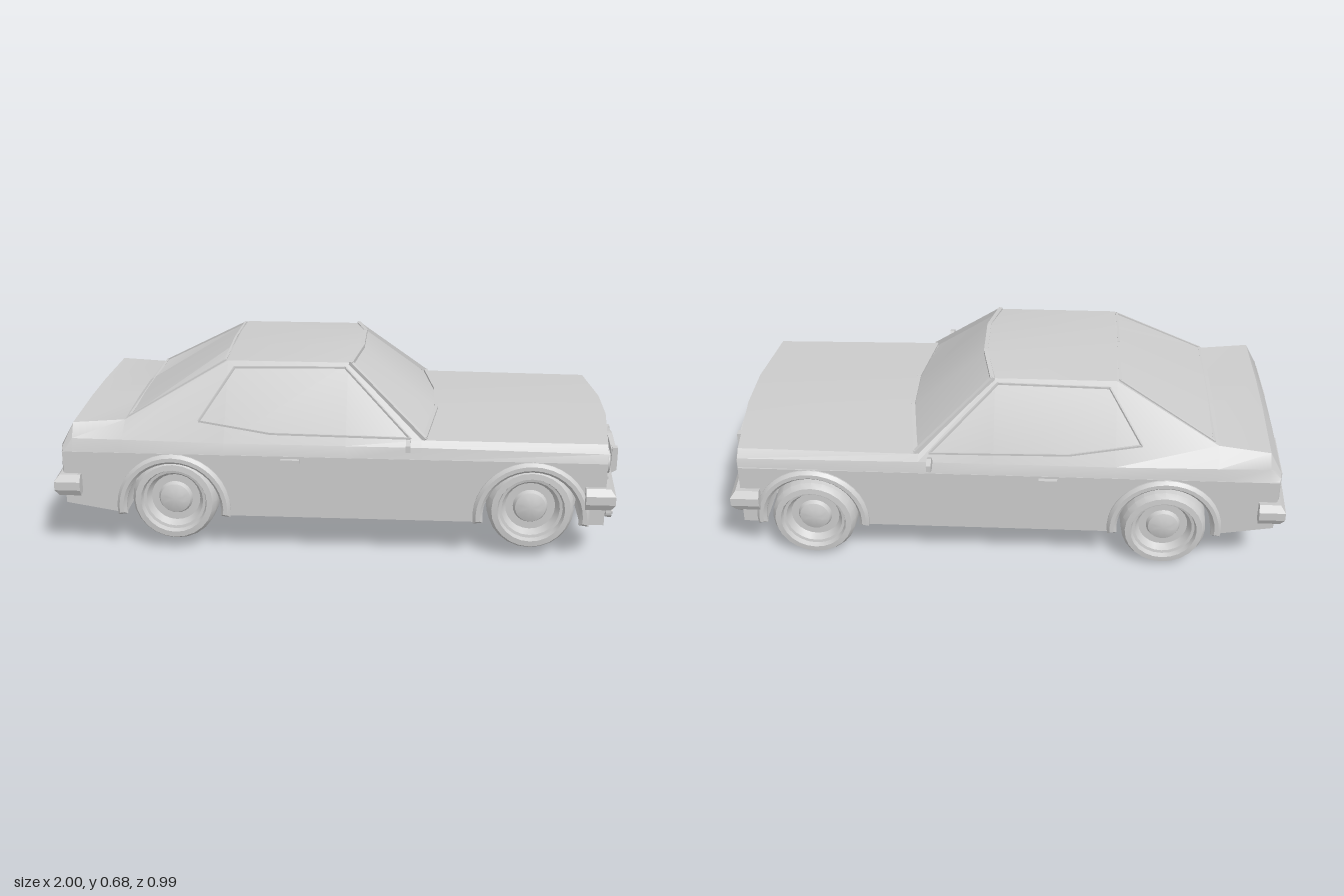
import * as THREE from 'three';
import { toCreasedNormals } from 'three/addons/utils/BufferGeometryUtils.js';

const mat = new THREE.MeshStandardMaterial({ color: 0xcccccc, side: THREE.DoubleSide });
const V = (p) => new THREE.Vector3(...p);

function add(parent, name, geo, x = 0, y = 0, z = 0) {
  const m = new THREE.Mesh(geo, mat);
  m.name = name;
  m.position.set(x, y, z);
  parent.add(m);
  return m;
}

// Skin over rows of points that all have the same count
function loft(rows, closed = false, crease = 0.5) {
  const n = rows[0].length, idx = [];
  for (let r = 0; r < rows.length - 1; r++) {
    for (let c = 0; c < (closed ? n : n - 1); c++) {
      const a = r * n + c, d = r * n + (c + 1) % n;
      idx.push(a, d, a + n, a + n, d, d + n);
    }
  }
  if (closed) {
    const last = (rows.length - 1) * n;
    for (let c = 1; c < n - 1; c++) idx.push(0, c + 1, c, last, last + c, last + c + 1);
  }
  const g = new THREE.BufferGeometry();
  g.setAttribute('position', new THREE.Float32BufferAttribute(rows.flat(2), 3));
  g.setIndex(idx);
  return toCreasedNormals(g, crease);
}

// Square bar between two points
function bar(parent, name, a, b, w, h = w) {
  const p = V(a), q = V(b);
  const m = add(parent, name, new THREE.BoxGeometry(w, h, p.distanceTo(q) + w * 0.6));
  m.position.copy(p).add(q).multiplyScalar(0.5);
  m.lookAt(q);
}

function outline(parent, name, pts, w) {
  pts.forEach((p, i) => bar(parent, name, p, pts[(i + 1) % pts.length], w));
}

const extrude = (shape, depth) => toCreasedNormals(
  new THREE.ExtrudeGeometry(shape, { depth, bevelEnabled: false, curveSegments: 16 }), 0.5);
const poly = (pts) => new THREE.Shape(pts.map((p) => new THREE.Vector2(...p)));

const AXLES = [-0.57, 0.67];
const ARCH_Y = 0.17;

// Lower flank with round wheel openings
function flankShape(arches) {
  const s = new THREE.Shape();
  s.moveTo(-0.95, 0.175);
  s.lineTo(-0.74, 0.14);
  if (arches) {
    const r = 0.172, t = Math.asin(0.03 / r);
    for (const x of AXLES) s.absarc(x, ARCH_Y, r, Math.PI + t, -t, true);
  }
  s.lineTo(0.92, 0.14);
  s.lineTo(0.92, 0.365);
  s.lineTo(-0.955, 0.365);
  return s;
}

// Bumper: hexagonal section swept round the car's end
function bumper(tipX, midX, endX, y) {
  const sec = [[-0.02, -0.03], [0.012, -0.038], [0.025, -0.015], [0.025, 0.015], [0.008, 0.038], [-0.02, 0.034]];
  const s = Math.sign(midX);
  const path = [[endX, 0.443, 0, 1], [tipX, 0.443, s, 1], [midX, 0.12, s, 0]];
  const full = [...path, ...path.slice().reverse().map(([x, z, nx, nz]) => [x, -z, nx, -nz])];
  return loft(full.map(([x, z, nx, nz]) => sec.map(([o, h]) => [x + o * nx, y + h, z + o * nz])), true, 0.3);
}

// Everything that exists once per side, built for +z
function buildSide() {
  const g = new THREE.Group();
  add(g, 'flank', extrude(flankShape(true), 0.18), 0, 0, 0.25);

  for (const x of AXLES) {
    const s = new THREE.Shape();
    s.absarc(0, 0, 0.2, -0.15, Math.PI + 0.15, false);
    s.absarc(0, 0, 0.166, Math.PI + 0.15, -0.15, true);
    const geo = new THREE.ExtrudeGeometry(s, {
      depth: 0.01, bevelThickness: 0.012, bevelSize: 0.01, bevelOffset: -0.01, bevelSegments: 1, curveSegments: 10,
    });
    add(g, 'wheelArchFlare', toCreasedNormals(geo, 0.5), x, ARCH_Y - 0.005, 0.425);
  }

  // Side window surround, following the lean of the cabin side
  const lean = (x, y) => [x, y, 0.42 - (y - 0.405) * 0.632];
  outline(g, 'sideWindowTrim', [lean(-0.48, 0.47), lean(-0.365, 0.635), lean(0.02, 0.64),
    lean(0.25, 0.432), lean(-0.23, 0.437)], 0.007);

  // Door mirror and handle
  const head = new THREE.CylinderGeometry(0.5, 0.5, 0.016, 6);
  head.rotateX(Math.PI / 2).rotateY(Math.PI / 2).scale(1, 0.046, 0.066);
  add(g, 'mirrorHead', toCreasedNormals(head, 0.3), 0.245, 0.426, 0.465);
  bar(g, 'mirrorArm', [0.245, 0.4, 0.41], [0.245, 0.415, 0.445], 0.01);
  add(g, 'doorHandle', new THREE.BoxGeometry(0.065, 0.014, 0.022), -0.16, 0.35, 0.434);

  // Lamps
  const lampProfile = [[0, 0], [0.041, 0], [0.041, 0.02], [0.032, 0.02], [0.03, 0.012], [0, 0.016]];
  const lamp = (name, k, x, y, z) => {
    const geo = new THREE.LatheGeometry(lampProfile.map((p) => new THREE.Vector2(p[0] * k, p[1])), 20);
    add(g, name, toCreasedNormals(geo.rotateZ(-Math.PI / 2), 0.5), x, y, z);
  };
  lamp('headlight', 1, 0.915, 0.343, 0.342);
  for (const z of [0.325, 0.375]) {
    lamp('fogLight', 0.54, 0.93, 0.172, z);
    lamp('fogLightCentre', 0.25, 0.935, 0.172, z);
    bar(g, 'fogLightStalk', [0.91, 0.172, z], [0.935, 0.172, z], 0.015);
  }
  outline(g, 'tailLightFrame', [[-0.968, 0.305, 0.15], [-0.968, 0.365, 0.15],
    [-0.963, 0.365, 0.37], [-0.963, 0.305, 0.37]], 0.01);
  add(g, 'tailLight', new THREE.BoxGeometry(0.014, 0.055, 0.215), -0.962, 0.335, 0.26);

  // Push bar upright and its half of the peaked top rail
  add(g, 'pushBarUpright', extrude(poly([[0.9, 0.145], [0.955, 0.15], [0.967, 0.165], [0.967, 0.205], [1, 0.225],
    [1, 0.31], [0.98, 0.31], [0.978, 0.24], [0.94, 0.215], [0.9, 0.17]]), 0.028), 0, 0, 0.1);
  bar(g, 'pushBarRail', [0.985, 0.293, 0.115], [0.985, 0.31, 0], 0.018, 0.028);
  return g;
}

function buildWheel() {
  const profile = [[0, -0.085], [0.132, -0.085], [0.148, -0.07], [0.152, 0], [0.148, 0.062], [0.136, 0.083],
    [0.116, 0.085], [0.11, 0.068], [0.1, 0.066], [0.086, 0.042], [0.06, 0.042], [0.053, 0.056], [0.03, 0.064], [0, 0.066]];
  const geo = new THREE.LatheGeometry(profile.map((p) => new THREE.Vector2(...p)), 24);
  return toCreasedNormals(geo.rotateX(Math.PI / 2), 0.5);
}

export function createModel() {
  const car = new THREE.Group();
  car.name = 'car';

  // Upper shell: rows run from the nose over the roof to the tail, columns from sill to centre
  const half = [
    [[0.918, 0.36, 0.425], [0.918, 0.36, 0.41], [0.918, 0.36, 0.39], [0.925, 0.36, 0.1]],
    [[0.92, 0.36, 0.425], [0.918, 0.388, 0.412], [0.918, 0.388, 0.39], [0.925, 0.388, 0.1]],
    [[0.92, 0.36, 0.425], [0.925, 0.39, 0.415], [0.925, 0.39, 0.395], [0.952, 0.39, 0.1]],
    [[0.92, 0.36, 0.425], [0.922, 0.395, 0.415], [0.922, 0.422, 0.39], [0.95, 0.432, 0.1]],
    [[0.29, 0.36, 0.43], [0.29, 0.405, 0.42], [0.29, 0.425, 0.4], [0.335, 0.44, 0.1]],
    [[0.03, 0.36, 0.43], [0.03, 0.405, 0.42], [0.03, 0.655, 0.262], [0.065, 0.674, 0.1]],
    [[-0.39, 0.36, 0.43], [-0.39, 0.405, 0.42], [-0.39, 0.655, 0.262], [-0.39, 0.668, 0.1]],
    [[-0.745, 0.36, 0.43], [-0.745, 0.41, 0.42], [-0.745, 0.46, 0.35], [-0.75, 0.462, 0.1]],
    [[-0.92, 0.36, 0.43], [-0.92, 0.41, 0.415], [-0.92, 0.458, 0.385], [-0.925, 0.462, 0.1]],
    [[-0.952, 0.36, 0.428], [-0.958, 0.375, 0.415], [-0.962, 0.38, 0.39], [-0.968, 0.38, 0.1]],
    [[-0.952, 0.3, 0.428], [-0.96, 0.3, 0.415], [-0.963, 0.3, 0.39], [-0.966, 0.3, 0.1]],
    [[-0.95, 0.175, 0.428], [-0.952, 0.175, 0.415], [-0.952, 0.175, 0.39], [-0.952, 0.175, 0.1]],
  ];
  const rows = half.map((r) => [...r, ...r.slice().reverse().map(([x, y, z]) => [x, y, -z])]);
  add(car, 'upperShell', loft(rows));

  // Closed centre of the lower body between the wheel wells
  add(car, 'floorCore', extrude(flankShape(false), 0.52), 0, 0, -0.26);

  // Windscreen and rear window surrounds
  outline(car, 'windscreenTrim', [[0.3, 0.428, 0.392], [0.34, 0.442, 0.1], [0.34, 0.442, -0.1], [0.3, 0.428, -0.392],
    [0.04, 0.652, -0.262], [0.072, 0.669, -0.1], [0.072, 0.669, 0.1], [0.04, 0.652, 0.262]], 0.014);
  outline(car, 'rearWindowTrim', [[-0.73, 0.469, 0.335], [-0.4, 0.652, 0.25],
    [-0.4, 0.664, 0], [-0.4, 0.652, -0.25], [-0.73, 0.469, -0.335]], 0.008);

  // Nose and tail fittings
  add(car, 'frontBumper', bumper(0.925, 0.945, 0.85, 0.245));
  add(car, 'rearBumper', bumper(-0.955, -0.972, -0.89, 0.25));
  bar(car, 'grilleLowerLip', [0.922, 0.305, -0.4], [0.922, 0.305, 0.4], 0.012);
  add(car, 'pushBarLowerRail', new THREE.BoxGeometry(0.02, 0.03, 0.2), 0.95, 0.165, 0);
  add(car, 'rearPlate', new THREE.BoxGeometry(0.014, 0.035, 0.18), -0.966, 0.33, 0);

  // Left and right sides
  for (const s of [1, -1]) {
    const side = buildSide();
    side.name = s > 0 ? 'nearSide' : 'farSide';
    side.scale.z = s;
    car.add(side);
  }

  // Wheels, the far pair hanging a little lower
  const wheelGeo = buildWheel();
  for (const x of AXLES) {
    add(car, 'wheel', wheelGeo, x, 0.188, 0.347);
    add(car, 'wheel', wheelGeo, x, 0.153, -0.353).rotation.y = Math.PI;
  }
  return car;
}
